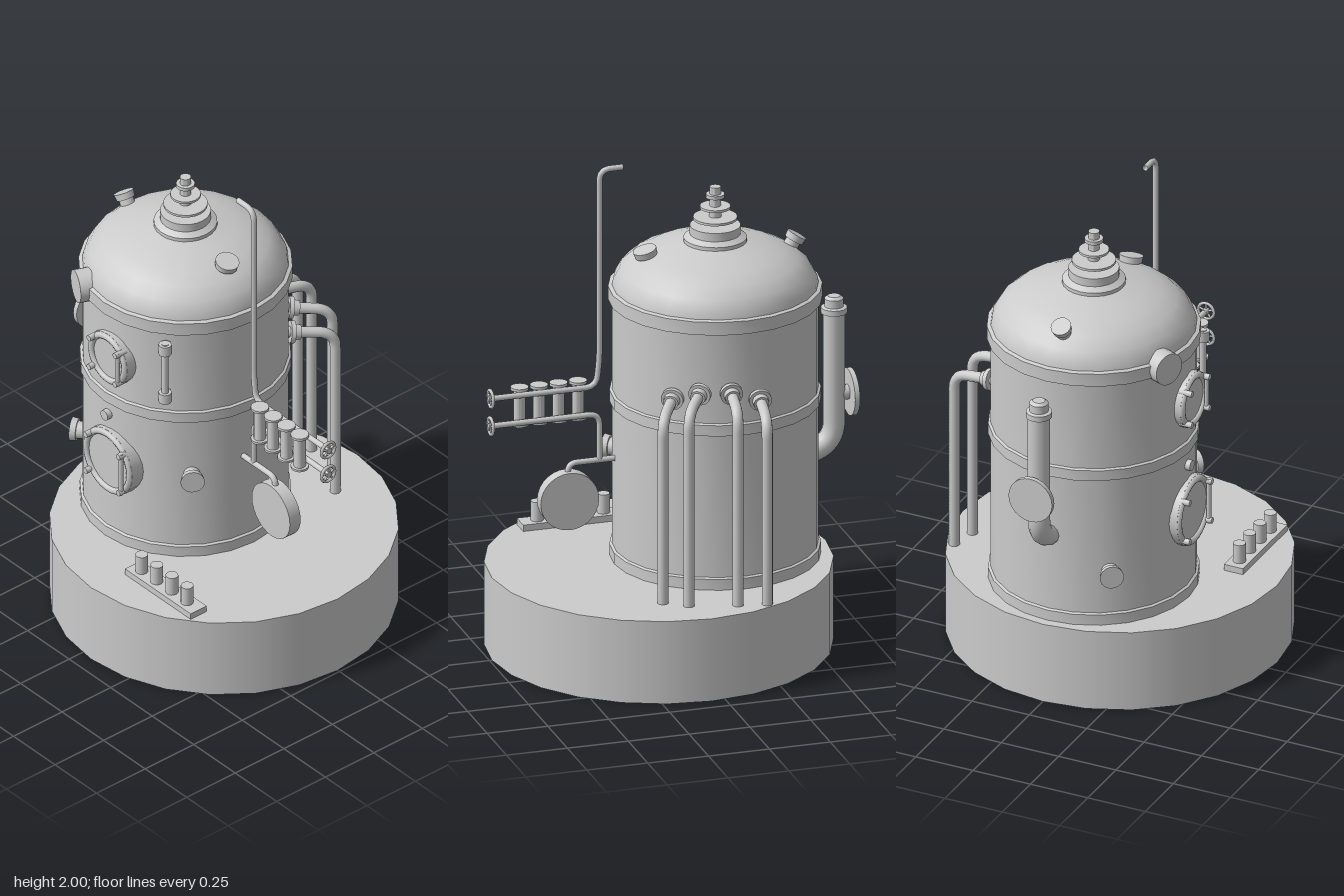
import * as THREE from 'three';
import { toCreasedNormals } from 'three/addons/utils/BufferGeometryUtils.js';

const V = (x, y, z) => new THREE.Vector3(x, y, z);
const UP = V(0, 1, 0);
const TZ = -0.177; // tank axis
const TR = 0.405; // tank radius

export function createModel() {
  const model = new THREE.Group();
  const mat = new THREE.MeshStandardMaterial({ color: 0xcccccc, side: THREE.DoubleSide });

  const add = (name, geometry, parent = model) => {
    const mesh = new THREE.Mesh(geometry, mat);
    mesh.name = name;
    parent.add(mesh);
    return mesh;
  };
  const group = (name) => {
    const g = new THREE.Group();
    g.name = name;
    model.add(g);
    return g;
  };
  // Straight round bar between two points, r0 at the start and r1 at the end
  const rod = (name, a, b, r0, r1 = r0, parent = model, sides = 16) => {
    const d = b.clone().sub(a);
    const mesh = add(name, new THREE.CylinderGeometry(r1, r0, d.length(), sides), parent);
    mesh.position.copy(a).addScaledVector(d, 0.5);
    mesh.quaternion.setFromUnitVectors(UP, d.normalize());
    return mesh;
  };
  // Round pipe through corner points with rounded bends
  const pipe = (name, pts, r, bend, parent = model) => {
    const path = new THREE.CurvePath();
    let from = pts[0];
    for (let i = 1; i < pts.length - 1; i++) {
      const p = pts[i];
      const toward = (q) => p.clone().add(q.clone().sub(p).setLength(bend));
      const a = toward(pts[i - 1]), b = toward(pts[i + 1]);
      path.add(new THREE.LineCurve3(from, a));
      path.add(new THREE.QuadraticBezierCurve3(a, p, b));
      from = b;
    }
    path.add(new THREE.LineCurve3(from, pts[pts.length - 1]));
    return add(name, new THREE.TubeGeometry(path, 72, r, 12), parent);
  };
  const lathe = (name, profile, sides = 24, parent = model) => {
    const pts = profile.map(([r, y]) => new THREE.Vector2(r, y));
    return add(name, toCreasedNormals(new THREE.LatheGeometry(pts, sides), 0.6), parent);
  };
  // Horizontal direction, measured from the back (-z) round towards -x
  const dirAt = (deg) => {
    const a = THREE.MathUtils.degToRad(deg);
    return V(-Math.sin(a), 0, -Math.cos(a));
  };
  const onTank = (dir, dist, y) => V(dir.x * dist, y, TZ + dir.z * dist);

  // Base drum
  add('base', new THREE.CylinderGeometry(0.685, 0.685, 0.345, 24)).position.set(0, 0.1725, 0.055);

  // Tank shell with hoops, dome and neck
  lathe('tank', [
    [0, 0.345], [0.415, 0.345], [0.415, 0.39], [TR, 0.395], [TR, 0.99], [0.415, 0.99], [0.415, 1.035],
    [TR, 1.04], [TR, 1.415], [0.42, 1.415], [0.42, 1.47], [0.405, 1.475], [0.4, 1.5], [0.375, 1.545],
    [0.33, 1.585], [0.27, 1.615], [0.2, 1.638], [0.125, 1.655], [0.125, 1.67], [0.1, 1.685],
    [0.1, 1.72], [0, 1.72],
  ]).position.z = TZ;

  // Stacked disc finial
  lathe('finial', [
    [0.024, 1.72], [0.024, 1.745], [0.087, 1.745], [0.087, 1.755], [0.024, 1.755], [0.024, 1.79],
    [0.06, 1.79], [0.06, 1.8], [0.022, 1.8], [0.022, 1.835], [0.037, 1.835], [0.037, 1.85],
    [0.022, 1.85], [0.022, 1.88], [0, 1.88],
  ]).position.z = TZ;

  // Small capped fittings on the dome
  [[0.1, 0.28, 0.045], [-0.515, -0.6, 0.038]].forEach(([z, lean, r]) => {
    const foot = V(-0.025, 1.56, z - lean * 0.06);
    const axis = V(0, 1, lean).normalize();
    const at = (d) => foot.clone().addScaledVector(axis, d);
    const g = group('domeFitting');
    rod('fittingNeck', at(0), at(0.06), 0.03, r - 0.008, g);
    rod('fittingCap', at(0.055), at(0.082), r, r + 0.003, g);
  });

  // Flared fittings on the shell
  [[35, 0.58], [143, 0.735]].forEach(([deg, y]) => {
    const d = dirAt(deg);
    const g = group('shellFitting');
    rod('fittingNeck', onTank(d, 0.38, y), onTank(d, 0.44, y), 0.032, 0.036, g);
    rod('fittingCap', onTank(d, 0.435, y), onTank(d, 0.46, y), 0.044, 0.048, g);
  });

  // Round inspection doors on the right side
  [[1.215, 0.115], [0.72, 0.145]].forEach(([y, r]) => {
    const g = group('inspectionDoor');
    const z = -0.15;
    rod('doorNeck', V(-0.34, y, z), V(-0.42, y, z), r, r, g, 24);
    const rim = add('doorRim', new THREE.TorusGeometry(r - 0.015, 0.014, 8, 28), g);
    rim.position.set(-0.42, y, z);
    rim.rotation.y = Math.PI / 2;
    // Clamps above and below, on the front and rear edges
    [-1, 1].forEach((sy) => [-1, 1].forEach((sz) => {
      const cy = y + sy * r * 0.6, cz = z + sz * r * 0.68;
      rod('doorClamp', V(-0.4, cy, cz), V(-0.455, cy, cz), 0.013, 0.013, g, 8);
    }));
    rod('doorHinge', V(-0.44, y - r * 0.68, z + r * 0.68), V(-0.44, y + r * 0.68, z + r * 0.68), 0.01, 0.01, g, 8);
  });
  rod('shellPlug', V(-0.38, 0.93, -0.17), V(-0.425, 0.93, -0.17), 0.022);
  const hatch = dirAt(67);
  rod('upperHatch', onTank(hatch, 0.37, 1.448), onTank(hatch, 0.45, 1.448), 0.067, 0.067, model, 24);

  // Level glass
  const glass = group('levelGlass');
  const gd = dirAt(129);
  rod('glassTube', onTank(gd, 0.438, 1.11), onTank(gd, 0.438, 1.385), 0.014, 0.014, glass);
  [1.13, 1.36].forEach((y) => {
    rod('glassArm', onTank(gd, 0.39, y), onTank(gd, 0.455, y), 0.016, 0.016, glass);
    rod('glassNut', onTank(gd, 0.438, y - 0.022), onTank(gd, 0.438, y + 0.022), 0.027, 0.027, glass, 8);
  });

  // Side pipes running down into the base: start x, z, end x, z, height
  [[0.43, -0.225, 0.597, -0.2, 1.135], [0.42, -0.11, 0.573, -0.088, 1.17],
    [0.385, 0.01, 0.522, 0.098, 1.17], [0.315, 0.1, 0.462, 0.185, 1.135]].forEach(([x0, z0, x1, z1, y]) => {
    const g = group('sidePipe');
    const start = V(x0, y, z0), end = V(x1, y - 0.025, z1);
    const out = end.clone().sub(start).normalize();
    const at = (d) => start.clone().addScaledVector(out, d);
    pipe('pipeRun', [at(-0.06), end, V(x1, 0.34, z1)], 0.022, 0.07, g);
    rod('pipeFlange', at(-0.012), at(0.006), 0.045, 0.045, g);
    rod('pipeCollar', at(0.006), at(0.03), 0.032, 0.03, g);
  });

  // Rear exhaust with cap and round plate
  const exhaust = group('exhaust');
  pipe('exhaustPipe', [V(0, 0.71, -0.52), V(0, 0.745, -0.665), V(0, 1.31, -0.665)], 0.044, 0.1, exhaust);
  lathe('exhaustCap', [
    [0, 1.295], [0.052, 1.295], [0.052, 1.318], [0.038, 1.322], [0.038, 1.355], [0.025, 1.365], [0, 1.365],
  ], 20, exhaust).position.z = -0.665;
  rod('plateStem', V(0, 0.955, -0.66), V(0, 0.955, -0.73), 0.03, 0.03, exhaust);
  rod('roundPlate', V(0, 0.955, -0.722), V(0, 0.955, -0.742), 0.095, 0.095, exhaust, 24);

  // Tall vent pipe and the lower feed pipe
  const PX = -0.043;
  const valves = group('valveRack');
  pipe('ventPipe', [V(PX, 1.08, 0.73), V(PX, 1.08, 0.298), V(PX, 1.2, 0.285), V(PX, 1.988, 0.285), V(PX, 1.988, 0.19)],
    0.012, 0.045, valves);
  pipe('feedPipe', [V(PX, 0.965, 0.73), V(PX, 0.965, 0.285), V(PX, 0.77, 0.285)], 0.012, 0.045, valves);
  // Four flanged valve columns
  for (let i = 0; i < 4; i++) {
    const z = 0.362 + i * 0.08;
    lathe('valveColumn', [
      [0, 0.943], [0.036, 0.943], [0.036, 0.953], [0.024, 0.953], [0.024, 1.092], [0.036, 1.092],
      [0.036, 1.103], [0, 1.103],
    ], 16, valves).position.set(-0.078, 0, z);
  }
  // Hand wheels
  [1.08, 0.965].forEach((y) => {
    const wheel = group('handWheel');
    wheel.position.set(PX, y, 0.732);
    add('wheelRim', new THREE.TorusGeometry(0.034, 0.007, 6, 18), wheel);
    rod('wheelHub', V(0, 0, -0.02), V(0, 0, 0.008), 0.013, 0.013, wheel);
    for (let i = 0; i < 5; i++) {
      const a = (i / 5) * Math.PI * 2;
      rod('wheelSpoke', V(0, 0, 0), V(Math.sin(a) * 0.034, Math.cos(a) * 0.034, 0), 0.005, 0.005, wheel, 6);
    }
  });

  // Large dial hung in front of the tank
  pipe('dialPipe', [V(PX, 0.772, 0.19), V(PX, 0.772, 0.415), V(PX, 0.7, 0.415)], 0.012, 0.04);
  const dial = rod('dial', V(-0.066, 0.622, 0.415), V(-0.012, 0.622, 0.415), 0.119, 0.119, model, 28);
  dial.rotateX(0.03);

  // Bollard strip on the base
  const strip = group('bollardStrip');
  add('stripPlate', new THREE.BoxGeometry(0.082, 0.027, 0.395), strip).position.set(-0.485, 0.358, 0.272);
  for (let i = 0; i < 4; i++) {
    const z = 0.127 + i * 0.091;
    rod('bollard', V(-0.485, 0.37, z), V(-0.485, 0.452, z), 0.025, 0.025, strip);
  }

  return model;
}
